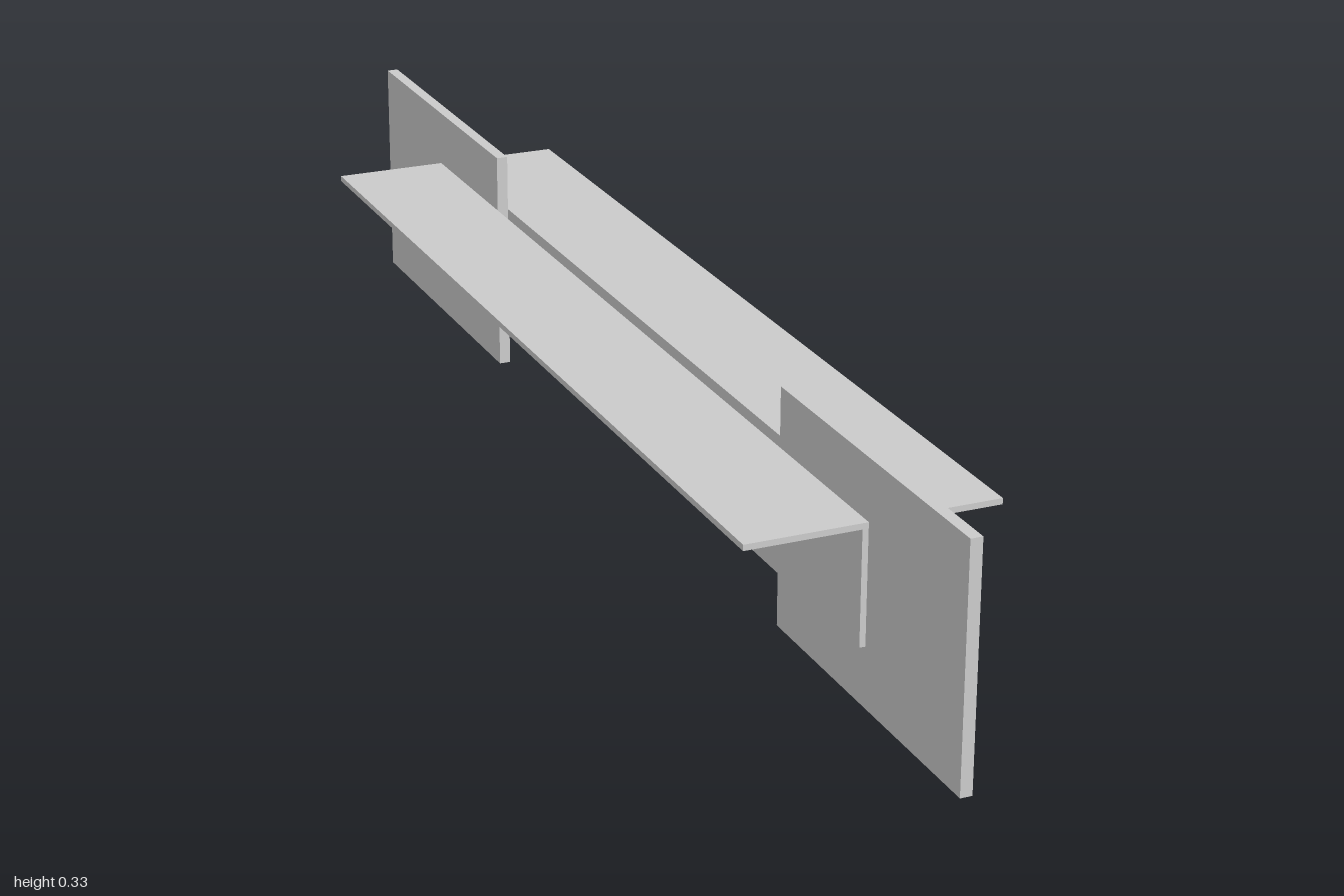
import * as THREE from 'three';

const GAP = 0.0083;       // half the space between the two angles
const T = 0.0083;         // angle leg thickness
const LEG = 0.1667;       // angle leg length
const TOP = 0.25;         // top of the angles
const LENGTH = 1.5;

export function createModel() {
  const group = new THREE.Group();
  const material = new THREE.MeshStandardMaterial({ color: 0xcccccc, flatShading: true });

  const add = (name, geometry, x, y, z) => {
    const mesh = new THREE.Mesh(geometry, material);
    mesh.name = name;
    mesh.position.set(x, y, z);
    group.add(mesh);
  };

  // Back-to-back steel angles: L sections run along z
  for (const [side, name] of [[1, 'leftAngle'], [-1, 'rightAngle']]) {
    const section = new THREE.Shape([
      [0, 0], [0, -LEG], [T, -LEG], [T, -T], [LEG, -T], [LEG, 0],
    ].map(([x, y]) => new THREE.Vector2(side * (GAP + x), TOP + y)));
    const geometry = new THREE.ExtrudeGeometry(section, { depth: LENGTH, bevelEnabled: false });
    add(name, geometry, 0, 0, -LENGTH / 2);
  }

  // Gusset plates held between the angles at each end
  for (const [end, name] of [[1, 'frontGusset'], [-1, 'backGusset']]) {
    add(name, new THREE.BoxGeometry(2 * GAP, 0.3333, 0.5), 0, 0.3333 / 2, end * 0.75);
  }

  // Small stitch plate between the angles at mid length
  add('stitchPlate', new THREE.BoxGeometry(2 * GAP, 0.08, 0.04), 0, TOP - LEG / 2, 0);

  return group;
}
